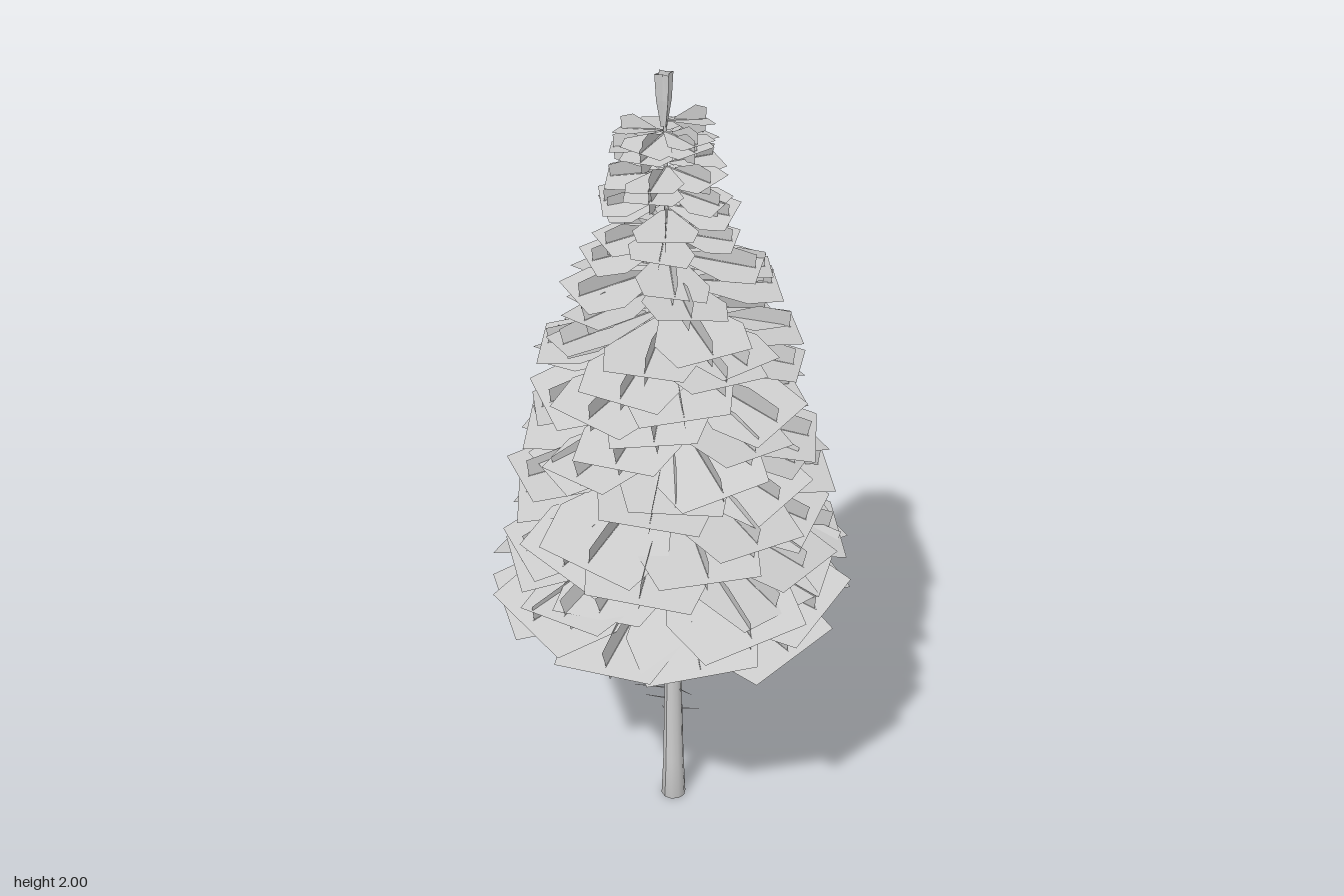
import * as THREE from 'three';

const bark = new THREE.MeshStandardMaterial({ color: 0xcccccc });
bark.name = 'bark grey';
const needles = new THREE.MeshStandardMaterial({ color: 0xcccccc, side: THREE.DoubleSide });
needles.name = 'needle grey';

// Small seeded generator, returns -1..1
let seed = 11;
const jitter = () => {
  seed = (seed * 16807) % 2147483647;
  return (seed / 2147483647) * 2 - 1;
};

// Crown radius by height
const outline = [[0.66, 0.435], [0.8, 0.415], [0.9, 0.4], [1, 0.37], [1.16, 0.335], [1.3, 0.305],
  [1.42, 0.27], [1.52, 0.235], [1.6, 0.165], [1.7, 0.145], [1.8, 0.125], [1.92, 0.1]];
function radiusAt(y) {
  for (let i = 1; i < outline.length; i++) {
    const [y0, r0] = outline[i - 1], [y1, r1] = outline[i];
    if (y <= y1) return r0 + (r1 - r0) * Math.max(0, (y - y0) / (y1 - y0));
  }
  return 0.1;
}

// Flat-shaded surface through rows of points
function sheet(rows) {
  const pos = [];
  for (let i = 0; i < rows.length - 1; i++) {
    for (let j = 0; j < rows[i].length - 1; j++) {
      const a = rows[i][j], b = rows[i][j + 1], c = rows[i + 1][j + 1], d = rows[i + 1][j];
      pos.push(...a, ...b, ...c, ...a, ...c, ...d);
    }
  }
  const g = new THREE.BufferGeometry();
  g.setAttribute('position', new THREE.Float32BufferAttribute(pos, 3));
  g.computeVertexNormals();
  return g;
}

// Unit flat spray along +x: narrow at the trunk, broad at the end
const spraySections = [[0.04, 0.08], [0.66, 0.52], [1, 0.43]];
const sprayGeometry = sheet(spraySections.map(([x, w]) => [[x, 0, -w], [x, 0, w]]));

// Upright fin crossing the spray along the same branch
const finSections = [[0.2, 0.08], [0.68, 0.5], [0.94, 0.4]];
const finGeometry = sheet(finSections.map(([x, h]) => [[x, h, 0], [x, -h, 0]]));

// Thin twig along +x
const twigGeometry = new THREE.CylinderGeometry(0.0008, 0.0025, 1, 4, 1).rotateZ(-Math.PI / 2).translate(0.5, 0, 0);

function part(name, geometry, material, parent) {
  const m = new THREE.Mesh(geometry, material);
  m.name = name;
  parent.add(m);
  return m;
}

function branch(y, angle, length, droop, centre) {
  const g = new THREE.Group();
  g.name = 'branch';
  g.rotation.set(jitter() * 0.22, angle, -droop, 'YZX');
  g.position.set(centre.x, y, centre.z);
  part('needleSpray', sprayGeometry, needles, g).scale.set(length, 1, length * 0.58 + 0.05);
  part('needleFin', finGeometry, needles, g).scale.set(length, length * 0.15 + 0.05, 1);
  part('twig', twigGeometry, bark, g).scale.set(length * 0.95, 1, 1);
  return g;
}

export function createModel() {
  const tree = new THREE.Group();
  tree.name = 'conifer';

  // Tapered trunk with a flared foot and a slight lean
  const leanAt = (y) => new THREE.Vector3(-0.008 * (y / 2) ** 2, 0, 0.018 * (y / 2) ** 2);
  const profile = [[0, 0], [0.032, 0], [0.027, 0.12], [0.022, 0.38], [0.018, 0.72], [0.011, 1.2], [0.006, 1.6], [0.004, 1.95]];
  const trunkGeometry = new THREE.LatheGeometry(profile.map(([r, y]) => new THREE.Vector2(r, y)), 10);
  const p = trunkGeometry.attributes.position;
  for (let i = 0; i < p.count; i++) {
    const l = leanAt(p.getY(i));
    p.setX(i, p.getX(i) + l.x);
    p.setZ(i, p.getZ(i) + l.z);
  }
  trunkGeometry.computeVertexNormals();
  part('trunk', trunkGeometry, bark, tree);

  // Whorls of drooping branches
  const layers = 24;
  for (let i = 0; i < layers; i++) {
    const t = i / (layers - 1);
    const base = 0.765 + 1.12 * t;
    const droop = 0.24 - 0.17 * t;
    const count = i < 15 ? 6 : 5;
    for (let k = 0; k < count; k++) {
      const y = base + jitter() * 0.02;
      const angle = (k / count) * Math.PI * 2 + i * 2.4 + jitter() * 0.15;
      const reach = radiusAt(y - 0.1 * (1 - t)) * (1 + jitter() * 0.05);
      tree.add(branch(y, angle, reach, droop + jitter() * 0.08, leanAt(y)));
    }
  }

  // Star-shaped leader flaring towards the top
  const star = (y, inner, outer) => Array.from({ length: 9 }, (_, k) => {
    const r = k % 2 ? inner : outer, a = (k * Math.PI) / 4 + 0.3;
    return [r * Math.cos(a), y, r * Math.sin(a)];
  });
  const leader = part('leader', sheet([star(1.88, 0.005, 0.008), star(1.94, 0.01, 0.019), star(2, 0.011, 0.023)]), needles, tree);
  leader.position.copy(leanAt(2));

  // Bare dead twigs on the lower trunk: height, heading, length, rise
  const dead = [[0.24, 2.7, 0.09, -0.2], [0.28, 0.5, 0.07, 0.2], [0.31, 3.5, 0.08, -0.15], [0.35, 0.1, 0.06, 0.05],
    [0.345, 3.9, 0.1, 0.1], [0.49, 1.1, 0.07, -0.2], [0.5, 2.6, 0.06, -0.3], [0.6, 0.9, 0.07, -0.1]];
  for (const [y, heading, length, rise] of dead) {
    const twig = part('deadTwig', twigGeometry, bark, tree);
    twig.position.y = y;
    twig.rotation.set(0, heading, rise, 'YZX');
    twig.scale.set(length, 1, 1);
  }
  return tree;
}
